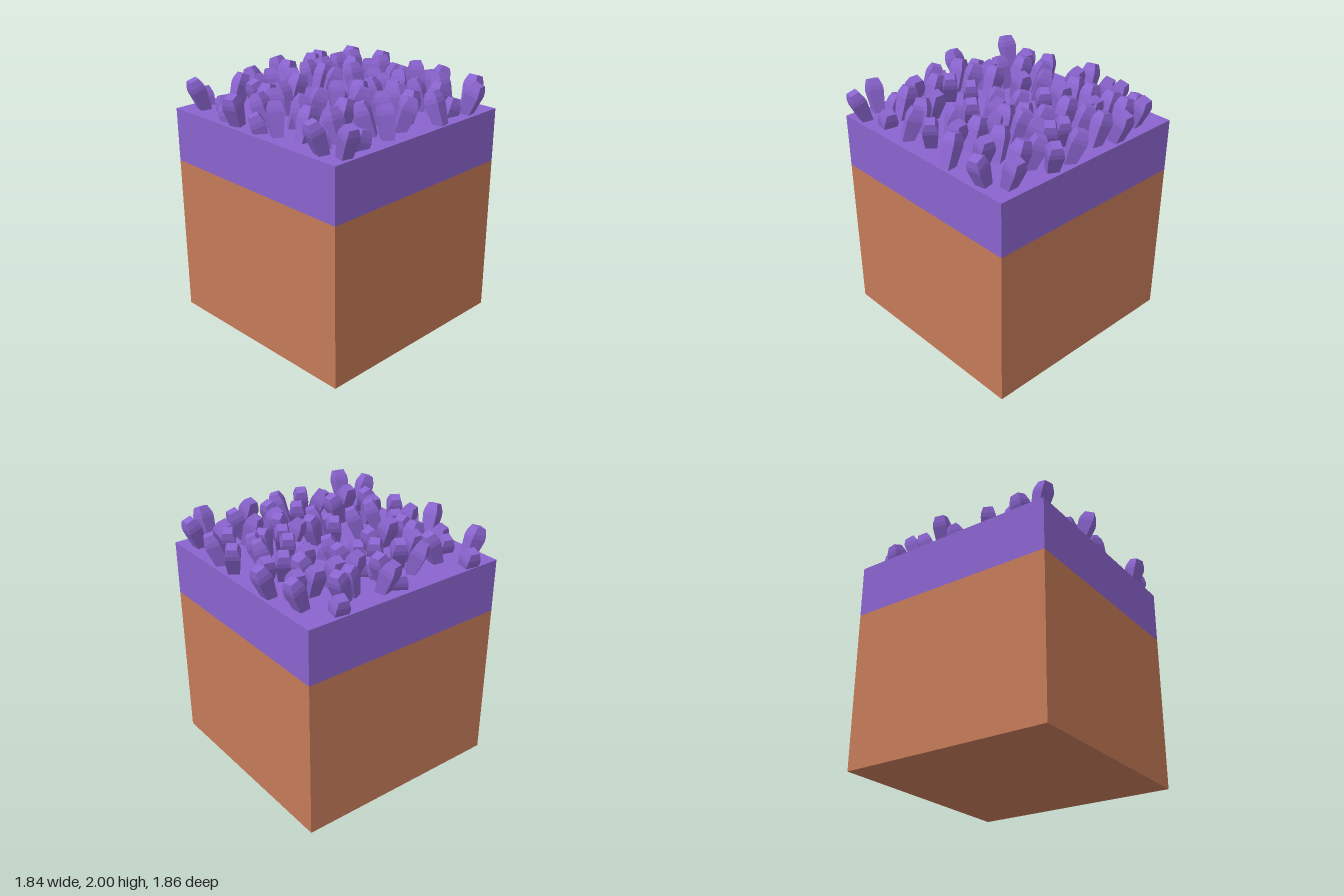
import * as THREE from 'three';

const SOIL_TOP = 1.31, BAND = 1.53, TOP = 1.745;
const LEAN = THREE.MathUtils.degToRad(20);

// Square crystal: narrow foot, wide shoulder, bevelled flat top
function crystalGeometry() {
  const profile = [[0, 0], [0.041, 0], [0.058, 0.18], [0.054, 0.215], [0.038, 0.267], [0, 0.267]];
  const points = profile.map(([half, y]) => new THREE.Vector2(half * Math.SQRT2, y));
  const geometry = new THREE.LatheGeometry(points, 4).rotateY(Math.PI / 4).toNonIndexed();
  geometry.computeVertexNormals();
  return geometry;
}

export function createModel() {
  const model = new THREE.Group();
  model.name = 'crystalGroundBlock';
  const purple = new THREE.MeshStandardMaterial({ color: 0x8a64cf });
  purple.name = 'purple';
  const clay = new THREE.MeshStandardMaterial({ color: 0xc47a58 });
  clay.name = 'clay';

  // Stacked layers of the block
  function layer(name, y0, y1, material) {
    const mesh = new THREE.Mesh(new THREE.BoxGeometry(1.765, y1 - y0, 1.765), material);
    mesh.position.set(-0.012, (y0 + y1) / 2, -0.003);
    mesh.name = name;
    model.add(mesh);
  }
  layer('soil', 0, SOIL_TOP, clay);
  layer('lowerTurf', SOIL_TOP, BAND, purple);
  layer('upperTurf', BAND, TOP, purple);

  // Crystals: [x, z] in hundredths, heading of the lean in degrees, 1 if sunk low
  const geometry = crystalGeometry();
  function plant(name, places) {
    const patch = new THREE.Group();
    patch.name = name;
    for (const [x, z, heading, low = 0] of places) {
      const a = THREE.MathUtils.degToRad(heading);
      const crystal = new THREE.Mesh(geometry, purple);
      crystal.name = 'crystal';
      crystal.rotation.set(0, a, -LEAN, 'YXZ');
      const back = low ? 0.06 : 0.04;
      crystal.position.set(x / 100 - back * Math.cos(a), TOP - 0.01 - 0.11 * low, z / 100 + back * Math.sin(a));
      patch.add(crystal);
    }
    model.add(patch);
  }

  plant('backRightCrystals', [
    [-63, -78, 95], [-51, -72, 175], [-34, -85, 90], [-21, -76, 170], [-83, -58, 170, 1], [-72, -48, 105],
    [-69, -37, 115], [-53, -57, 175], [-37, -53, 95], [-34, -51, 90], [-21, -60, 150], [-21, -42, 175],
    [-51, -38, 175], [-12, -34, 150, 1], [-52, -22, 195], [-38, -20, 85], [-23, -17, 55], [-9, -11, 205, 1],
    [-80, -13, 195], [-67, -7, 100], [-79, -1, 150, 1], [-55, -3, 60, 1], [-48, -7, 140, 1],
  ]);
  plant('backLeftCrystals', [
    [11, -82, 145], [33, -83, 60], [69, -80, 90], [38, -69, 145], [51, -67, 180], [82, -63, 10],
    [2, -61, 60], [13, -59, 50], [20, -49, 125], [47, -43, 205], [63, -44, 80], [72, -50, 80, 1],
    [2, -40, 150], [2, -30, 120, 1], [18, -34, 150], [37, -23, 125], [49, -21, 185], [78, -27, 190],
    [21, -21, 205], [62, -13, 95], [18, -5, 110],
  ]);
  plant('frontRightCrystals', [
    [-44, 6, 135], [-22, 7, 150, 1], [-30, 16, 85], [-55, 19, 150], [-69, 24, 210], [-50, 36, 175],
    [-20, 37, 180], [-63, 46, 80], [-39, 46, 265], [-25, 51, 105], [-11, 53, 155], [-84, 64, 170, 1],
    [-74, 76, 255], [-54, 67, 165, 1], [-37, 77, 195, 1], [-22, 83, 290], [-9, 67, 200], [-1, 79, 235, 1],
  ]);
  plant('frontLeftCrystals', [
    [7, 7, 145], [29, 7, 55], [50, 3, 145], [72, 2, 50], [34, 21, 150, 1], [9, 31, 55],
    [42, 36, 90], [59, 29, 215], [73, 23, 150], [12, 52, 55], [24, 57, 180], [54, 55, 180],
    [74, 51, 80, 1], [37, 67, 90], [53, 69, 170, 1], [13, 74, 150], [63, 81, 255], [83, 73, 348],
  ]);
  return model;
}
